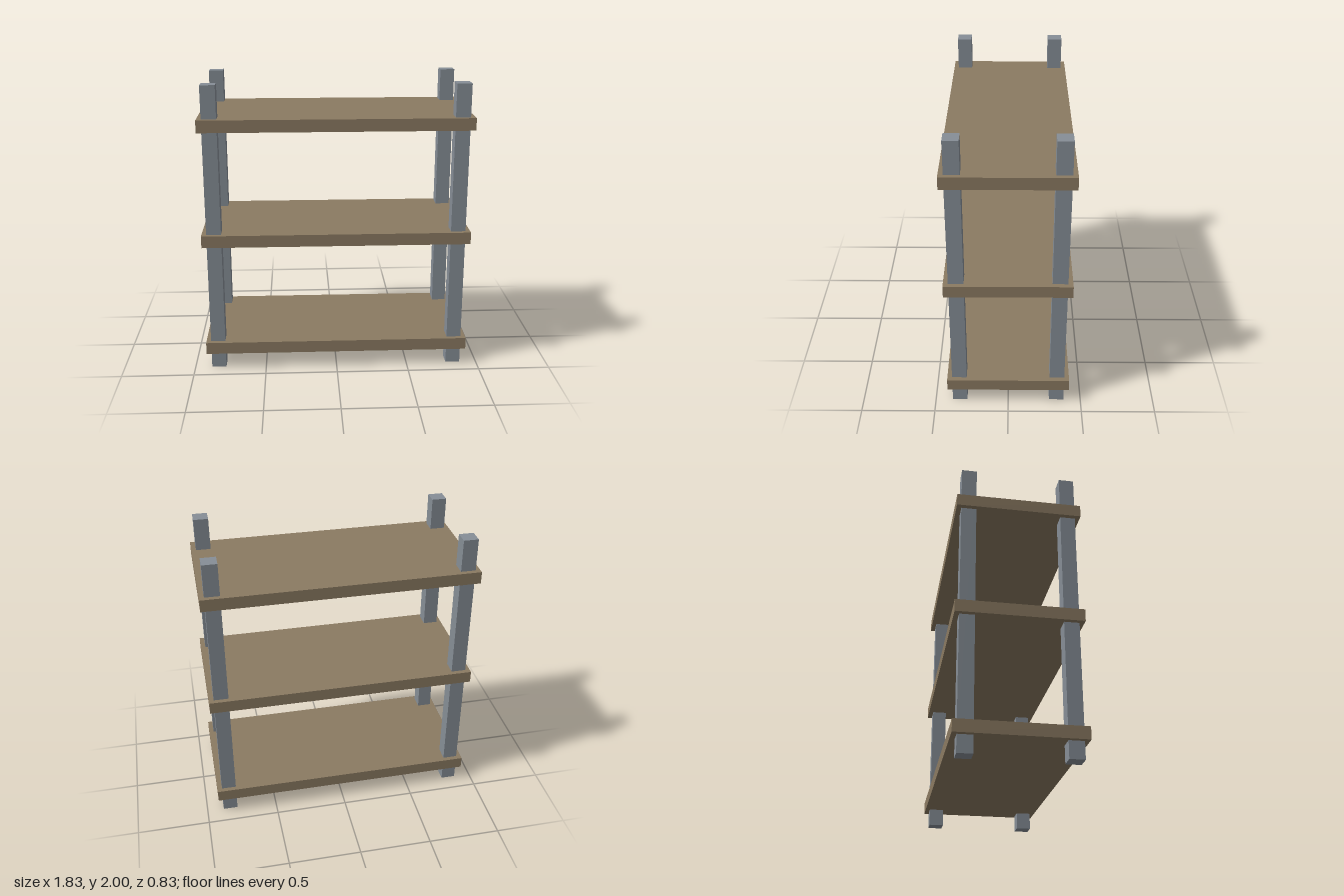
import * as THREE from 'three';

export function createModel() {
  const model = new THREE.Group();
  model.name = 'shelvingUnit';

  const wood = new THREE.MeshStandardMaterial({ color: 0x8b7a62 });
  wood.name = 'brownWood';
  const metal = new THREE.MeshStandardMaterial({ color: 0x868e96 });
  metal.name = 'greyMetal';

  const addBox = (name, size, position, material) => {
    const mesh = new THREE.Mesh(new THREE.BoxGeometry(...size), material);
    mesh.name = name;
    mesh.position.set(...position);
    model.add(mesh);
  };

  // Four square corner posts, full height
  for (const [side, x] of [['Left', 0.833], ['Right', -0.833]]) {
    for (const [end, z] of [['front', 0.333], ['back', -0.333]]) {
      addBox(`${end}${side}Post`, [0.1, 2, 0.1], [x, 1, z], metal);
    }
  }

  // Three evenly spaced shelves, overhanging the posts slightly
  ['bottom', 'middle', 'top'].forEach((level, i) => {
    addBox(`${level}Shelf`, [1.83, 0.083, 0.83], [0, 0.158 + i * 0.789, 0], wood);
  });

  return model;
}
